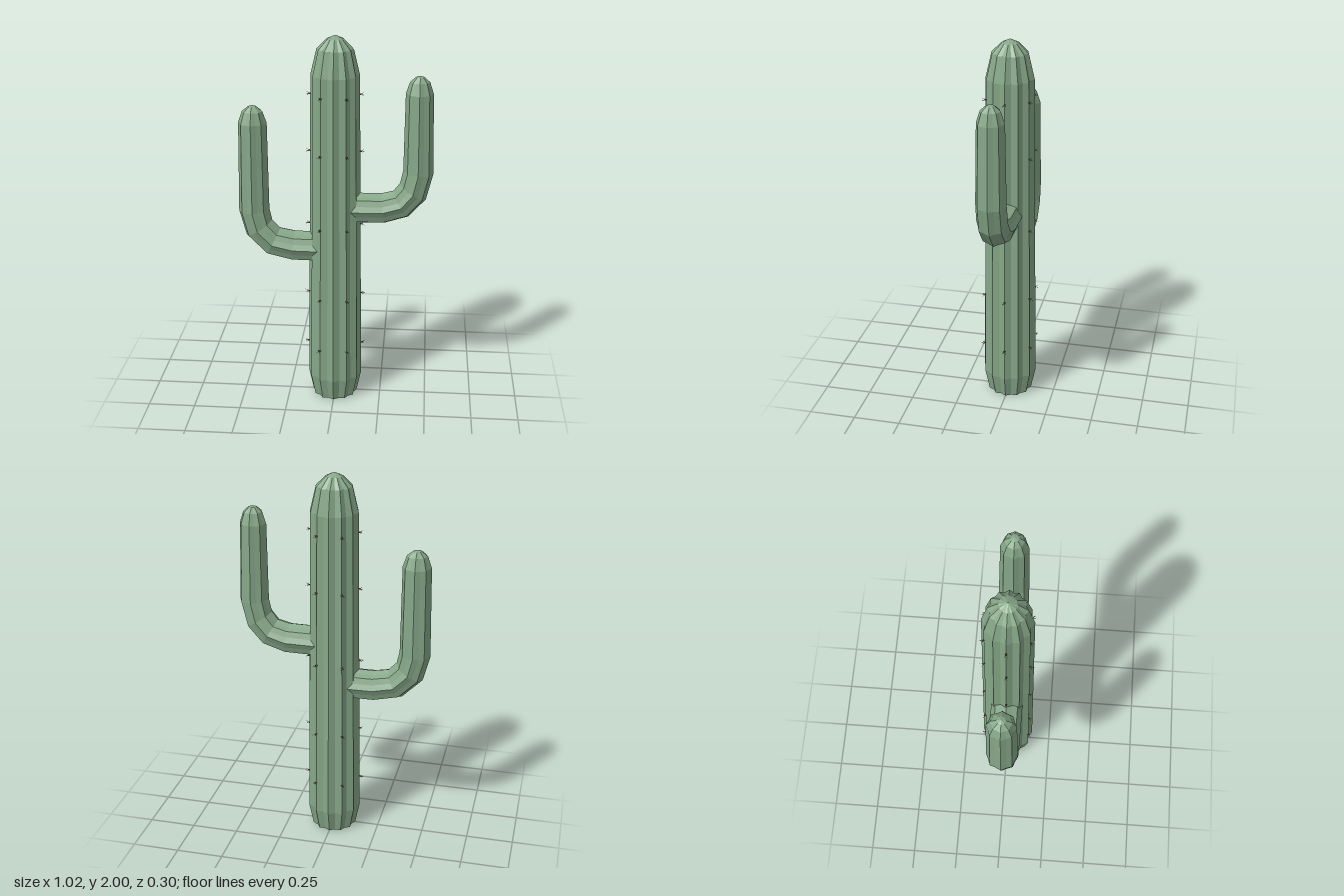
import * as THREE from 'three';

const green = new THREE.MeshStandardMaterial({ color: 0x86a788, flatShading: true });
green.name = 'cactus green';
const brown = new THREE.MeshStandardMaterial({ color: 0x7a5540, flatShading: true });
brown.name = 'spine brown';

// Ribbed skin lofted through rings [x, y, heading in degrees, ridge radius]
function ribbed(name, rings, ribs, valley) {
  const n = ribs * 2, pos = [], index = [];
  for (const [x, y, deg, r] of rings) {
    const h = THREE.MathUtils.degToRad(deg);
    for (let j = 0; j < n; j++) {
      const a = (j / n) * Math.PI * 2;
      const k = j % 2 ? r * valley : r;
      pos.push(x - Math.sin(h) * Math.cos(a) * k, y + Math.cos(h) * Math.cos(a) * k, Math.sin(a) * k);
    }
  }
  for (let i = 0; i < rings.length - 1; i++) {
    for (let j = 0; j < n; j++) {
      const a = i * n + j, b = i * n + (j + 1) % n;
      if (rings[i][3] > 0) index.push(a, b, b + n);
      if (rings[i + 1][3] > 0 || rings[i][3] === 0) index.push(a, b + n, a + n);
      else index.push(a, b, a + n);
    }
  }
  const geo = new THREE.BufferGeometry();
  geo.setAttribute('position', new THREE.Float32BufferAttribute(pos, 3));
  geo.setIndex(index);
  const flat = geo.toNonIndexed();
  flat.computeVertexNormals();
  const mesh = new THREE.Mesh(flat, green);
  mesh.name = name;
  return mesh;
}

// Ridge radius of the trunk at a height on its straight part
const trunkRadius = (y) => 0.145 - 0.02 * (y - 0.12) / 1.68;

// Small knob with three needles, pointing along +x
function spineCluster() {
  const group = new THREE.Group();
  group.name = 'spineCluster';
  const knob = new THREE.Mesh(new THREE.IcosahedronGeometry(0.005, 0), brown);
  knob.name = 'spineKnob';
  group.add(knob);
  for (let i = 0; i < 3; i++) {
    const a = (i / 3) * Math.PI * 2;
    const dir = new THREE.Vector3(1, Math.cos(a) * 0.5, Math.sin(a) * 0.5).normalize();
    const needle = new THREE.Mesh(new THREE.ConeGeometry(0.002, 0.025, 4), brown);
    needle.name = 'needle';
    needle.quaternion.setFromUnitVectors(new THREE.Vector3(0, 1, 0), dir);
    needle.position.copy(dir).multiplyScalar(0.0125);
    group.add(needle);
  }
  return group;
}

export function createModel() {
  const model = new THREE.Group();
  model.name = 'cactus';

  // Trunk with closed base and domed top
  model.add(ribbed('trunk', [
    [0, 0, 90, 0], [0, 0, 90, 0.12], [0, 0.12, 90, 0.145], [0, 1.0, 90, trunkRadius(1)],
    [0, 1.8, 90, 0.125], [0, 1.93, 90, 0.094], [0, 1.98, 90, 0.045], [0, 2, 90, 0],
  ], 12, 0.89));

  // Arms bend out of the trunk and rise to domed tips
  model.add(ribbed('leftArm', [
    [0.06, 1.09, 0, 0], [0.06, 1.09, 0, 0.083], [0.25, 1.092, 5, 0.083], [0.345, 1.12, 30, 0.081],
    [0.405, 1.19, 58, 0.08], [0.43, 1.295, 85, 0.078], [0.426, 1.71, 90, 0.07],
    [0.426, 1.77, 90, 0.05], [0.426, 1.795, 90, 0.022], [0.426, 1.8, 90, 0],
  ], 8, 0.9));
  model.add(ribbed('rightArm', [
    [-0.06, 0.865, 180, 0], [-0.06, 0.865, 180, 0.084], [-0.22, 0.866, 175, 0.084], [-0.33, 0.89, 153, 0.083],
    [-0.404, 0.965, 122, 0.082], [-0.429, 1.065, 95, 0.081], [-0.426, 1.54, 90, 0.074],
    [-0.426, 1.6, 90, 0.053], [-0.426, 1.625, 90, 0.022], [-0.426, 1.632, 90, 0],
  ], 8, 0.9));

  // Spines on every second ridge
  for (const y of [0.3, 0.6, 1.0, 1.4, 1.7]) {
    for (let i = 0; i < 6; i++) {
      const a = (i / 6) * Math.PI * 2, r = trunkRadius(y);
      const spines = spineCluster();
      spines.position.set(Math.cos(a) * r, y, Math.sin(a) * r);
      spines.rotation.y = -a;
      model.add(spines);
    }
  }
  return model;
}
